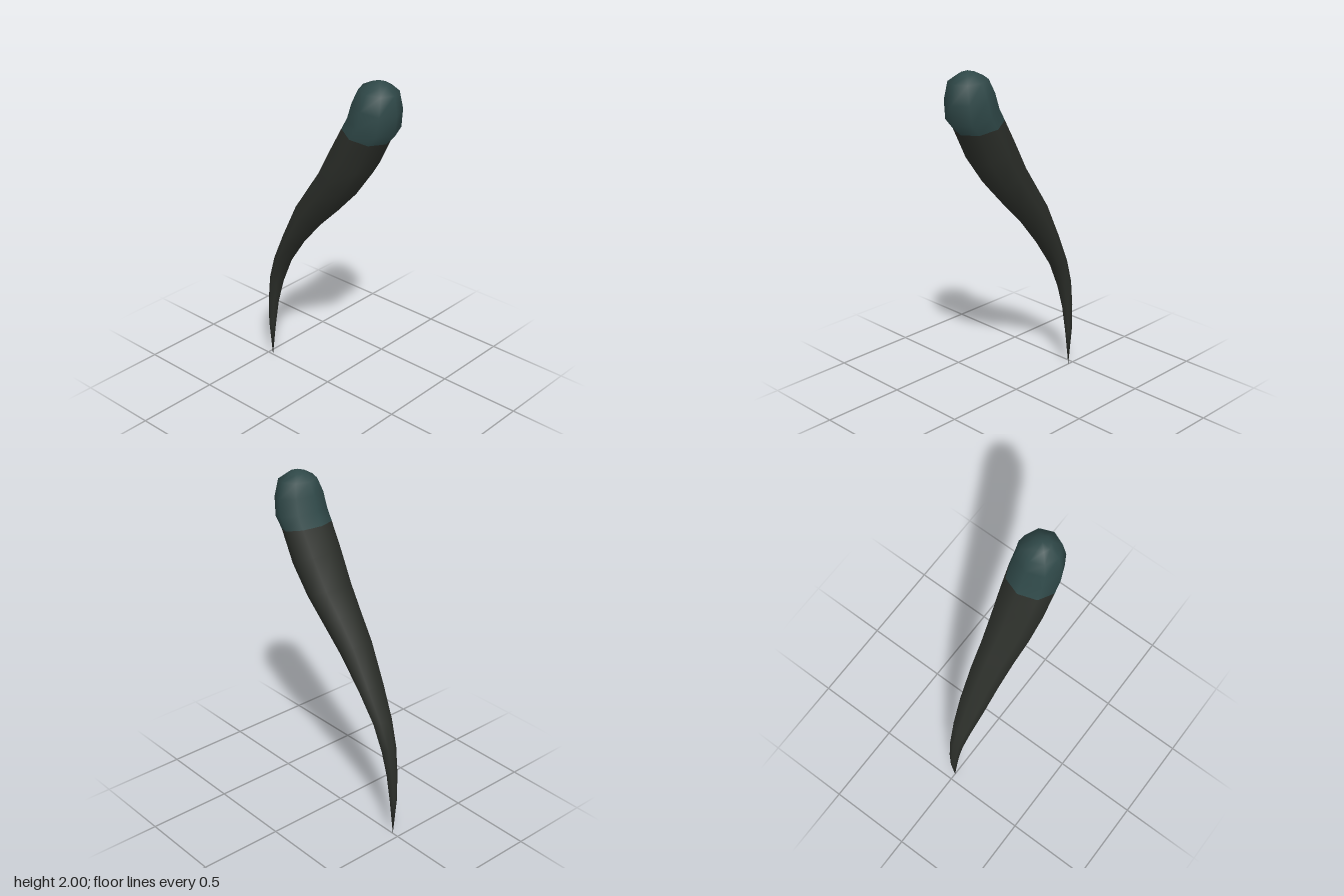
import * as THREE from 'three';

const SIDES = 8;

// Cross-sections from tail tip to crown: [front z, front y, back z, back y, half width]
const BODY = [
  [-0.435, 0.22, -0.48, 0.24, 0.018],
  [-0.412, 0.39, -0.472, 0.41, 0.031],
  [-0.375, 0.53, -0.45, 0.58, 0.043],
  [-0.315, 0.69, -0.4, 0.73, 0.06],
  [-0.21, 0.85, -0.312, 0.92, 0.08],
  [-0.06, 1.03, -0.205, 1.145, 0.097],
  [0.08, 1.17, -0.11, 1.29, 0.11],
  [0.21, 1.31, -0.02, 1.42, 0.128],
  [0.325, 1.47, 0.075, 1.595, 0.142],
  [0.415, 1.66, 0.153, 1.728, 0.146],
];
const CROWN = [
  [0.47, 1.72, 0.19, 1.8, 0.146],
  [0.481, 1.833, 0.217, 1.885, 0.137],
  [0.465, 1.94, 0.25, 1.955, 0.107],
  [0.41, 1.98, 0.31, 1.985, 0.05],
];

export function createModel() {
  const rings = [...BODY, ...CROWN];
  const positions = [];

  // Tilted octagonal rings, then one point for each end
  for (const [fz, fy, bz, by, w] of rings) {
    for (let j = 0; j < SIDES; j++) {
      const a = (j / SIDES) * Math.PI * 2;
      const k = (1 + Math.cos(a)) / 2; // 1 at the front, 0 at the back
      positions.push(w * Math.sin(a), by + (fy - by) * k, bz + (fz - bz) * k);
    }
  }
  const tail = rings.length * SIDES;
  const apex = tail + 1;
  positions.push(0, 0, -0.46, 0, 2, 0.36);

  // Skin between rings, kept apart for the two coloured parts
  const at = (i, j) => i * SIDES + (j % SIDES);
  const bodyFaces = [];
  const crownFaces = [];
  const last = rings.length - 1;
  for (let j = 0; j < SIDES; j++) {
    bodyFaces.push(tail, at(0, j + 1), at(0, j));
    for (let i = 0; i < last; i++) {
      const faces = i < BODY.length - 1 ? bodyFaces : crownFaces;
      faces.push(at(i, j), at(i, j + 1), at(i + 1, j + 1));
      faces.push(at(i, j), at(i + 1, j + 1), at(i + 1, j));
    }
    crownFaces.push(at(last, j), at(last, j + 1), apex);
  }

  // Shared normals keep the shading smooth across the colour seam
  const whole = new THREE.BufferGeometry();
  whole.setAttribute('position', new THREE.Float32BufferAttribute(positions, 3));
  whole.setIndex([...bodyFaces, ...crownFaces]);
  whole.computeVertexNormals();

  const group = new THREE.Group();
  group.name = 'curvedTaperedForm';
  const addPart = (name, faces, color) => {
    const geometry = whole.clone().setIndex(faces);
    const mesh = new THREE.Mesh(geometry, new THREE.MeshStandardMaterial({ color }));
    mesh.name = name;
    group.add(mesh);
  };
  addPart('taperedBody', bodyFaces, 0x2c2f2a);
  addPart('roundedCap', crownFaces, 0x2f4848);
  return group;
}
